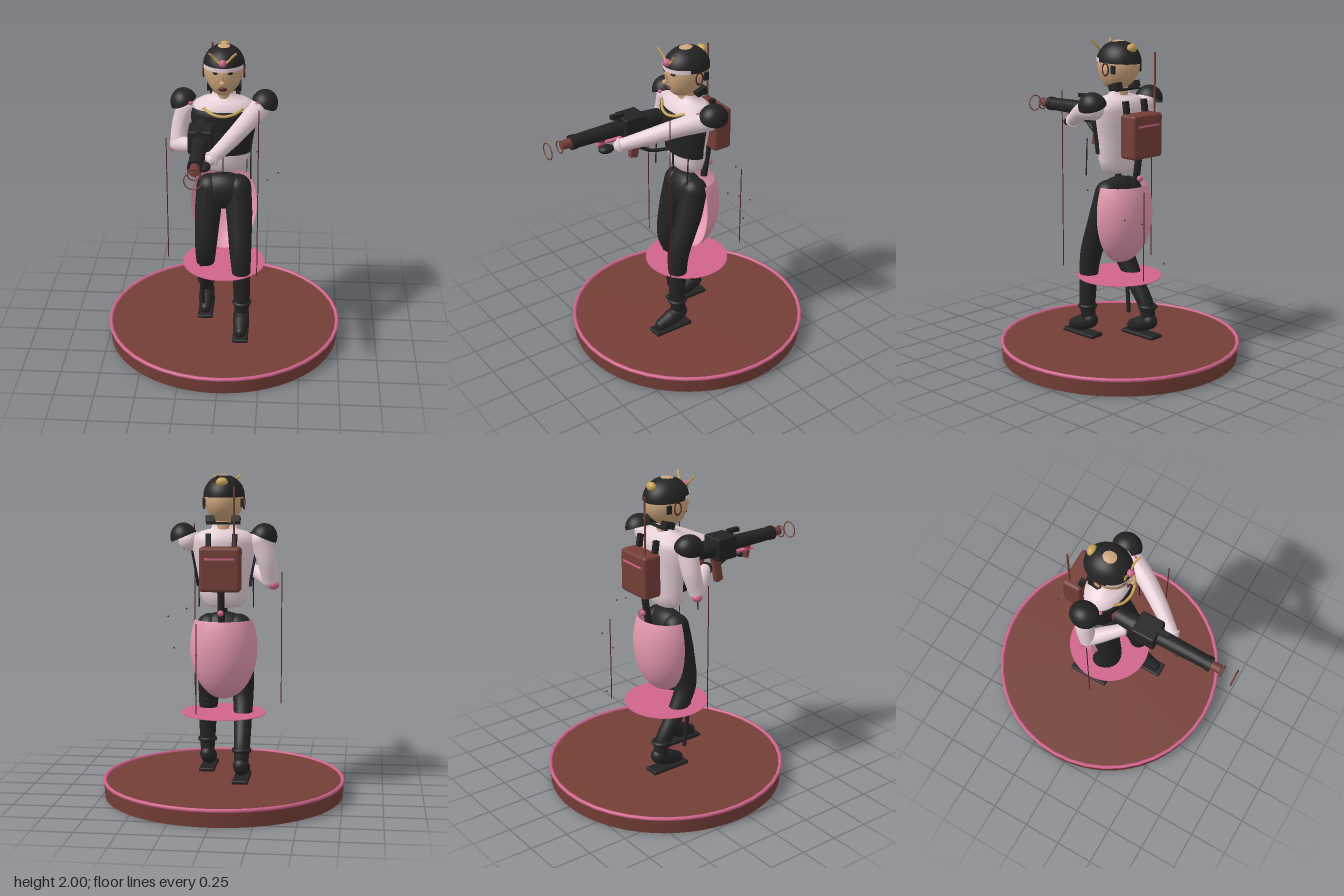
import * as THREE from 'three';
import { RoundedBoxGeometry } from 'three/addons/geometries/RoundedBoxGeometry.js';

const V = (p) => new THREE.Vector3(p[0], p[1], p[2]);
const mat = (name, color, side = THREE.FrontSide) => {
  const m = new THREE.MeshStandardMaterial({ color, side });
  m.name = name;
  return m;
};

export function createModel() {
  const root = new THREE.Group();
  root.name = 'armouredFigure';
  const black = mat('black', 0x232324, THREE.DoubleSide);
  const brown = mat('brown', 0x753e37);
  const pink = mat('pink', 0xd0638c, THREE.DoubleSide);
  const rose = mat('rose', 0xe398ae, THREE.DoubleSide);
  const pale = mat('pale', 0xe6d0d7, THREE.DoubleSide);
  const skin = mat('skin', 0xcca47c);
  const gold = mat('gold', 0xc9a456);
  const lip = mat('darkRed', 0x55242a);

  const add = (name, geo, m, pos = [0, 0, 0], rot = [0, 0, 0], scale = [1, 1, 1], parent = root) => {
    const mesh = new THREE.Mesh(geo, m);
    mesh.name = name;
    mesh.position.set(...pos);
    mesh.rotation.set(...rot);
    mesh.scale.set(...scale);
    parent.add(mesh);
    return mesh;
  };
  const ball = (name, m, pos, r, rot) =>
    add(name, new THREE.SphereGeometry(1, 24, 16), m, pos, rot, Array.isArray(r) ? r : [r, r, r]);
  const box = (name, m, pos, size, rot) => add(name, new THREE.BoxGeometry(...size), m, pos, rot);
  const ring = (name, m, pos, r, t, rot) => add(name, new THREE.TorusGeometry(r, t, 8, 40), m, pos, rot);
  const tube = (name, m, pts, r) =>
    add(name, new THREE.TubeGeometry(new THREE.CatmullRomCurve3(pts.map(V)), 24, r, 8), m);
  // straight rod between two points
  const rod = (name, m, a, b, r, r2 = r) => {
    const d = V(b).sub(V(a));
    const mesh = add(name, new THREE.CylinderGeometry(r2, r, d.length(), 20), m);
    mesh.position.copy(V(a)).addScaledVector(d, 0.5);
    mesh.quaternion.setFromUnitVectors(new THREE.Vector3(0, 1, 0), d.normalize());
    return mesh;
  };
  // limb of varying radius with rounded ends; points are [x, y, z, radius]
  const limb = (name, m, pts) => {
    const n = 28, sides = 20;
    const curve = new THREE.CatmullRomCurve3(pts.map(V));
    const geo = new THREE.TubeGeometry(curve, n, 1, sides);
    const p = geo.attributes.position, v = new THREE.Vector3();
    for (let i = 0; i <= n; i++) {
      const c = curve.getPointAt(i / n);
      const t = curve.getUtoTmapping(i / n) * (pts.length - 1);
      const k = Math.min(Math.floor(t), pts.length - 2);
      const r = THREE.MathUtils.lerp(pts[k][3], pts[k + 1][3], t - k);
      for (let j = 0; j <= sides; j++) {
        const q = i * (sides + 1) + j;
        v.fromBufferAttribute(p, q).sub(c).multiplyScalar(r).add(c);
        p.setXYZ(q, v.x, v.y, v.z);
      }
    }
    geo.computeVertexNormals();
    add(name, geo, m);
    for (const e of [pts[0], pts[pts.length - 1]]) ball(name + 'End', m, e.slice(0, 3), e[3]);
  };
  const profile = (pts) => pts.map((p) => new THREE.Vector2(p[0], p[1]));

  // Display base
  add('base', new THREE.CylinderGeometry(0.755, 0.748, 0.1, 96), brown, [0, 0.05, -0.075]);
  ring('baseRim', pink, [0, 0.1, -0.075], 0.75, 0.012, [Math.PI / 2, 0, 0]);

  // Floating disc, three posts around it and drifting sparks
  add('floatingDisc', new THREE.CylinderGeometry(0.265, 0.265, 0.004, 64), pink, [0, 0.52, -0.07]);
  for (const [x, z, top] of [[0.222, 0.208, 1.685], [-0.355, -0.015, 1.4], [0.13, -0.4, 1.12]])
    rod('thinPost', lip, [x, 0.57, z], [x, top, z], 0.003);
  for (const p of [[0.34, 1.13, -0.135], [0.265, 0.97, -0.37], [0.2, 1.2, -0.3], [0.05, 0.685, -0.49], [0.13, 0.925, -0.385]])
    add('spark', new THREE.IcosahedronGeometry(0.006, 0), lip, p);

  // Legs, cuffs and shoes: left leg forward, right leg back
  const leg = (s, path, footZ) => {
    limb('leg', black, path.map(([x, y, z, r]) => [s * x, y, z, r]));
    ring('ankleCuff', black, [s * 0.125, 0.31, footZ + 0.09], 0.048, 0.014, [Math.PI / 2, 0, 0]);
    limb('shoe', black, [[s * 0.122, 0.215, footZ + 0.07, 0.05], [s * 0.122, 0.185, footZ + 0.14, 0.052], [s * 0.122, 0.16, footZ + 0.215, 0.038]]);
    add('sole', new RoundedBoxGeometry(0.1, 0.025, 0.27, 2, 0.01), black, [s * 0.122, 0.122, footZ + 0.14]);
  };
  leg(1, [[0.09, 1.06, -0.06, 0.083], [0.1, 0.9, -0.015, 0.083], [0.113, 0.65, 0.072, 0.068], [0.12, 0.5, 0.085, 0.057], [0.125, 0.31, 0.09, 0.05], [0.123, 0.22, 0.08, 0.042]], 0);
  leg(-1, [[0.09, 1.06, -0.06, 0.083], [0.1, 0.9, -0.03, 0.083], [0.113, 0.65, 0.0, 0.068], [0.12, 0.5, -0.07, 0.057], [0.125, 0.31, -0.19, 0.05], [0.123, 0.22, -0.21, 0.042]], -0.29);
  ball('pelvis', black, [0, 1.035, -0.06], [0.165, 0.122, 0.092]);
  rod('waistPost', black, [0, 1.12, -0.06], [0, 1.22, -0.06], 0.02);
  rod('scabbard', black, [-0.145, 0.63, 0.015], [-0.135, 0.23, -0.025], 0.013);
  ball('scabbardKnob', pink, [-0.145, 0.635, 0.02], 0.024);

  // Half-shell skirt behind the hips
  add('skirtShell', new THREE.SphereGeometry(1, 40, 28, Math.PI, Math.PI, 1.0, Math.PI - 1.0), rose,
    [0, 0.935, -0.08], [0, 0, 0], [0.21, 0.325, 0.19]);

  // Torso and front vest
  const torso = [[0, 1.18], [0.09, 1.185], [0.13, 1.21], [0.15, 1.27], [0.158, 1.36], [0.185, 1.5], [0.2, 1.58], [0.19, 1.625], [0.14, 1.655], [0.08, 1.67], [0.07, 1.7]];
  add('torso', new THREE.LatheGeometry(profile(torso), 48), pale, [0, 0, -0.065], [0, 0, 0], [1, 1, 0.63]);
  const vest = [[0.155, 1.31], [0.172, 1.315], [0.178, 1.38], [0.2, 1.5], [0.212, 1.57], [0.205, 1.6], [0.19, 1.605]];
  add('vest', new THREE.LatheGeometry(profile(vest), 40, -1.6, 3.2), black, [0, 0, -0.065], [0, 0, 0], [1, 1, 0.64]);
  box('vestSeam', black, [0, 1.25, 0.035], [0.006, 0.12, 0.008]);
  tube('necklace', gold, [[-0.12, 1.625, 0.03], [-0.07, 1.602, 0.068], [0, 1.59, 0.082], [0.07, 1.602, 0.068], [0.12, 1.625, 0.03]], 0.009);
  rod('neck', skin, [0, 1.64, -0.07], [0, 1.76, -0.06], 0.055);

  // Head with flat-sided jaw
  const headGeo = new THREE.SphereGeometry(1, 40, 28);
  const hp = headGeo.attributes.position;
  for (let i = 0; i < hp.count; i++) {
    const y = hp.getY(i), low = Math.max(0, -y);
    hp.setX(i, hp.getX(i) * (1 - 0.12 * low));
    hp.setZ(i, hp.getZ(i) + 0.22 * low * low);
  }
  headGeo.computeVertexNormals();
  add('head', headGeo, skin, [0, 1.845, -0.062], [0, 0, 0], [0.12, 0.155, 0.138]);
  add('nose', new THREE.ConeGeometry(0.02, 0.075, 16), skin, [0, 1.825, 0.08], [0.45, 0, 0]);
  ball('noseTip', skin, [0, 1.805, 0.094], 0.015);
  ball('mouth', lip, [0, 1.762, 0.072], [0.028, 0.012, 0.01]);
  for (const s of [-1, 1]) {
    ball('eye', black, [s * 0.045, 1.86, 0.064], [0.017, 0.009, 0.008], [0, s * 0.35, 0]);
    box('brow', lip, [s * 0.045, 1.883, 0.064], [0.045, 0.007, 0.008], [0, s * 0.35, s * 0.15]);
    ball('ear', skin, [s * 0.117, 1.83, -0.07], [0.012, 0.036, 0.025]);
    add('earRing', new THREE.TorusGeometry(0.03, 0.005, 8, 28), lip, [s * 0.124, 1.83, -0.07], [0, Math.PI / 2, 0], [0.8, 1.25, 1]);
    box('earStrap', black, [s * 0.115, 1.83, -0.125], [0.014, 0.05, 0.03]);
    box('collarBlock', black, [s * 0.078, 1.725, -0.11], [0.052, 0.04, 0.07], [0.3, 0, 0]);
    tube('feeler', gold, [[s * 0.012, 1.92, 0.075], [s * 0.04, 1.945, 0.07], [s * 0.065, 1.975, 0.078], [s * 0.085, 1.995, 0.088]], 0.007);
  }
  box('collarBar', black, [0, 1.705, -0.135], [0.2, 0.012, 0.02]);

  // Cap, headband and jewels
  add('cap', new THREE.SphereGeometry(1, 40, 20, 0, Math.PI * 2, 0, Math.PI / 2), black, [0, 1.868, -0.065], [-0.04, 0, 0], [0.127, 0.13, 0.147]);
  add('headband', new THREE.CylinderGeometry(0.129, 0.129, 0.024, 32, 1, true, -1.2, 2.4), pale, [0, 1.883, -0.065], [0, 0, 0], [1, 1, 1.15]);
  ball('browJewel', pink, [0, 1.925, 0.077], 0.023);
  ball('hairKnot', gold, [0, 1.955, -0.172], [0.036, 0.028, 0.026]);

  // Shoulder pads
  for (const s of [-1, 1]) {
    add('shoulderPad', new THREE.SphereGeometry(1, 32, 16, 0, Math.PI * 2, 0, Math.PI / 2), black,
      [s * 0.247, 1.618, -0.085], [0, 0, -s * 0.4], [0.082, 0.088, 0.092]);
    ball('padStud', pink, [s * 0.2, 1.64, -0.005], 0.012);
    rod('vestStrap', black, [s * 0.172, 1.17, 0.05], [s * 0.172, 1.4, 0.04], 0.004);
  }

  // Left arm reaches to the fore-end, right arm bends to the trigger
  limb('leftArm', pale, [[0.22, 1.595, -0.065, 0.065], [0.15, 1.565, 0.09, 0.057], [0.06, 1.51, 0.24, 0.05], [-0.045, 1.45, 0.39, 0.038]]);
  ring('leftWristCuff', pale, [-0.045, 1.45, 0.39], 0.036, 0.012, [0.3, -0.6, 0]);
  ball('leftHand', black, [-0.085, 1.43, 0.46], [0.04, 0.026, 0.05]);
  limb('rightUpperArm', pale, [[-0.225, 1.595, -0.075, 0.065], [-0.265, 1.47, -0.075, 0.058], [-0.285, 1.35, -0.05, 0.05]]);
  limb('rightForearm', pale, [[-0.285, 1.35, -0.05, 0.05], [-0.22, 1.38, 0.03, 0.046], [-0.15, 1.41, 0.115, 0.037]]);
  ball('elbowPad', pink, [-0.307, 1.322, -0.065], [0.034, 0.026, 0.03]);
  ball('rightHand', black, [-0.125, 1.41, 0.14], [0.04, 0.036, 0.045]);

  // Long gun along +z
  const gx = -0.118, gy = 1.525;
  const along = (name, m, z0, z1, r, r2 = r) => rod(name, m, [gx, gy, z0], [gx, gy, z1], r, r2);
  add('receiver', new RoundedBoxGeometry(0.145, 0.145, 0.15, 2, 0.012), black, [gx, gy, 0.265]);
  along('rearBody', black, 0.06, 0.2, 0.05, 0.06);
  along('barrel', black, 0.3, 0.68, 0.048, 0.041);
  along('barrelCollar', black, 0.655, 0.685, 0.045);
  along('muzzle', brown, 0.68, 0.745, 0.028);
  ring('innerMuzzleRing', brown, [gx, gy - 0.008, 0.757], 0.036, 0.004);
  ring('outerMuzzleRing', brown, [gx, gy - 0.012, 0.835], 0.05, 0.0035);
  box('sight', black, [gx, 1.607, 0.36], [0.03, 0.025, 0.085]);
  box('sightPost', black, [gx, 1.58, 0.345], [0.02, 0.05, 0.025]);
  box('trimRail', pink, [gx, 1.465, 0.36], [0.05, 0.01, 0.3]);
  rod('foregrip', brown, [gx, 1.5, 0.48], [gx, 1.41, 0.465], 0.024);
  box('magazine', brown, [gx, 1.39, 0.235], [0.035, 0.18, 0.05], [-0.2, 0, 0]);
  rod('triggerGrip', brown, [gx, 1.49, 0.12], [gx, 1.38, 0.08], 0.022);
  box('stock', brown, [gx, 1.49, 0.065], [0.05, 0.08, 0.06]);
  tube('hose', black, [[gx, 1.45, 0.34], [gx + 0.02, 1.39, 0.25], [gx + 0.05, 1.335, 0.15], [gx + 0.08, 1.33, 0.05]], 0.012);

  // Backpack with aerial and tail pipe
  add('backpack', new RoundedBoxGeometry(0.25, 0.27, 0.125, 3, 0.02), brown, [0, 1.435, -0.255]);
  box('packStripe', pink, [0, 1.5, -0.318], [0.18, 0.012, 0.006]);
  rod('aerial', brown, [-0.085, 1.55, -0.283], [-0.085, 1.935, -0.283], 0.006);
  for (const s of [-1, 1]) box('packStrap', black, [s * 0.08, 1.59, -0.205], [0.03, 0.11, 0.03], [0.15, 0, 0]);
  rod('tailPipe', black, [0, 1.31, -0.235], [0, 1.08, -0.2], 0.022);
  ball('tailStud', pink, [0, 1.165, -0.243], 0.019);

  return root;
}
